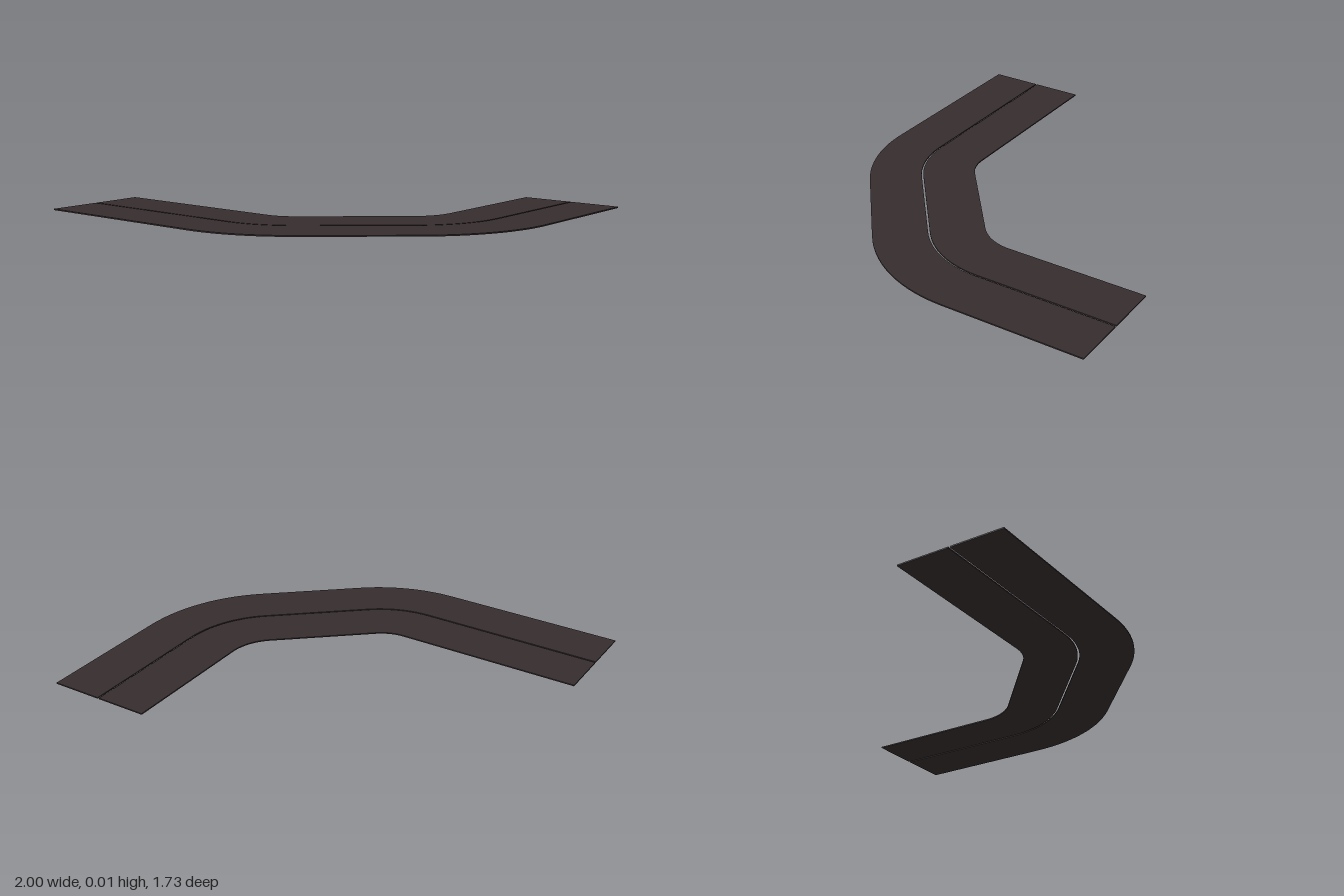
import * as THREE from 'three';

const THICKNESS = 0.006;
const GAP = 0.008;
const HALF = 0.25; // half the road's width
const STEPS = 14;

// The two bends: centre (x, z), centreline radius, start and end angle (from +x towards +z)
const deg = Math.PI / 180;
const bends = [
  { x: -0.11, z: 0.165, r: 0.45, from: 90 * deg, to: 50 * deg },
  { x: 0.26, z: -0.198, r: 0.49, from: 50 * deg, to: 0 },
];

// Road line at a sideways distance from the centreline (positive is the outside of the bends)
function roadLine(offset) {
  const points = [new THREE.Vector2(-1, -(0.615 + offset))];
  for (const b of bends) {
    for (let i = 0; i <= STEPS; i++) {
      const a = b.from + (b.to - b.from) * i / STEPS;
      const r = b.r + offset;
      points.push(new THREE.Vector2(b.x + r * Math.cos(a), -(b.z + r * Math.sin(a))));
    }
  }
  points.push(new THREE.Vector2(0.75 + offset, 0.865));
  return points;
}

// Flat slab between two road lines
function lane(name, inner, outer, material) {
  const shape = new THREE.Shape([...roadLine(outer), ...roadLine(inner).reverse()]);
  const geometry = new THREE.ExtrudeGeometry(shape, { depth: THICKNESS, bevelEnabled: false });
  geometry.rotateX(-Math.PI / 2);
  const mesh = new THREE.Mesh(geometry, material);
  mesh.name = name;
  return mesh;
}

export function createModel() {
  const asphalt = new THREE.MeshStandardMaterial({ color: 0x352c2d });
  asphalt.name = 'asphalt';

  const road = new THREE.Group();
  road.name = 'road';
  // Two lanes with a narrow open seam along the middle
  road.add(lane('innerLane', -HALF, -GAP / 2, asphalt));
  road.add(lane('outerLane', GAP / 2, HALF, asphalt));
  return road;
}
